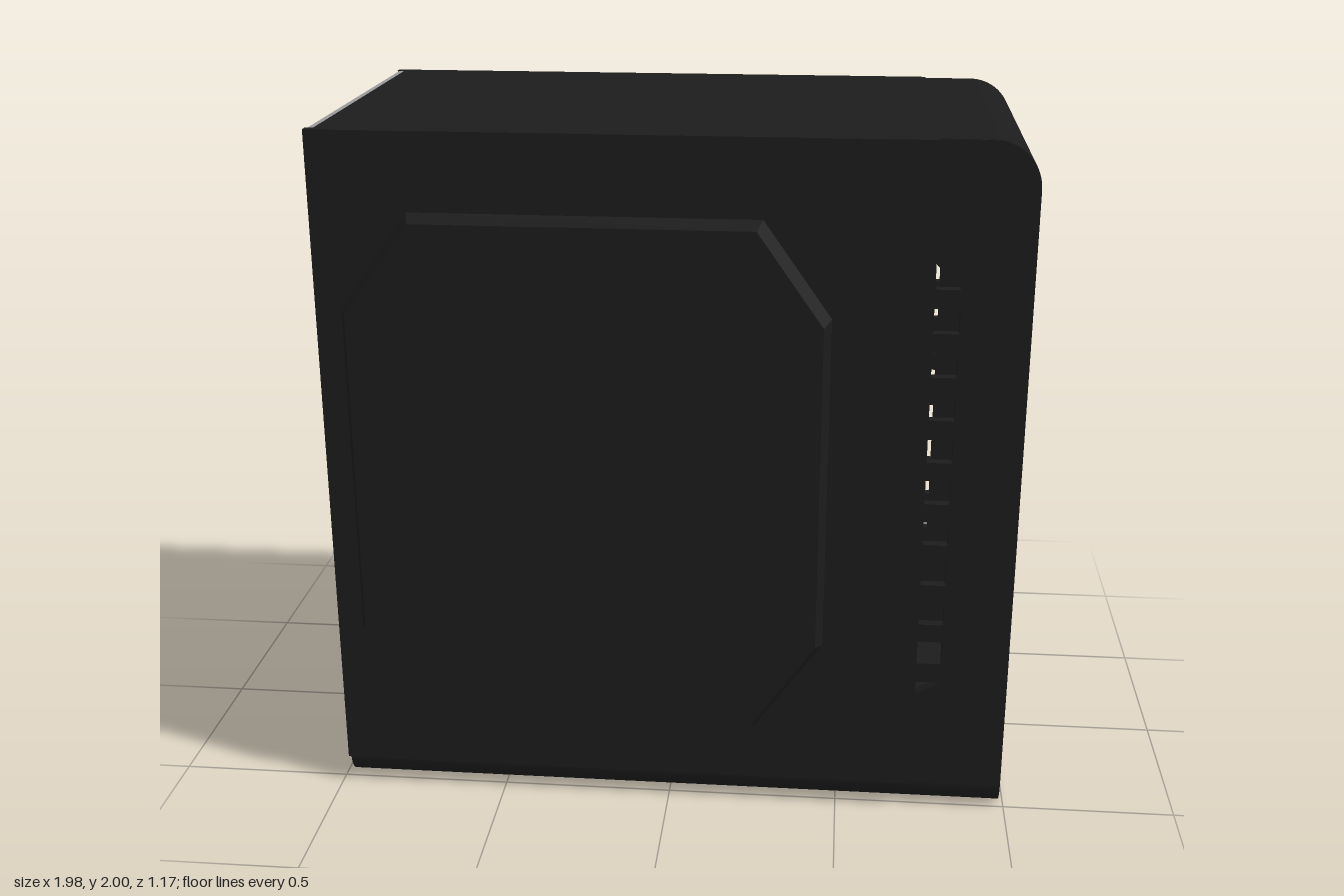
import * as THREE from 'three';

const black = new THREE.MeshStandardMaterial({ color: 0x1c1c1c });
const darker = new THREE.MeshStandardMaterial({ color: 0x0e0e0e });
const steel = new THREE.MeshStandardMaterial({ color: 0x999999 });
const light = new THREE.MeshStandardMaterial({ color: 0xcccccc });

const polygon = (pts) => new THREE.Shape(pts.map(([a, b]) => new THREE.Vector2(a, b)));
const rect = (a0, a1, b0, b1) => polygon([[a0, b0], [a1, b0], [a1, b1], [a0, b1]]);
const extrude = (shape, depth) =>
  new THREE.ExtrudeGeometry(shape, { depth, bevelEnabled: false, curveSegments: 12 });

// Shapes drawn as (-z, y) are extruded along +x starting at x0
const alongX = (shape, x0, depth) => extrude(shape, depth).rotateY(Math.PI / 2).translate(x0, 0, 0);

// Outline with rounded lower corners, drawn as (-z, y)
function roundedBottom(half, top, r) {
  const s = new THREE.Shape();
  s.moveTo(-half, top);
  s.lineTo(-half, r);
  s.absarc(-half + r, r, r, Math.PI, Math.PI * 1.5, false);
  s.lineTo(half - r, 0);
  s.absarc(half - r, r, r, Math.PI * 1.5, Math.PI * 2, false);
  s.lineTo(half, top);
  return s;
}

export function createModel() {
  const model = new THREE.Group();
  const add = (name, geometry, material, parent = model) => {
    const mesh = new THREE.Mesh(geometry, material);
    mesh.name = name;
    parent.add(mesh);
    return mesh;
  };
  const box = (name, x0, x1, y0, y1, z0, z1, material, parent) =>
    add(name, new THREE.BoxGeometry(x1 - x0, y1 - y0, z1 - z0)
      .translate((x0 + x1) / 2, (y0 + y1) / 2, (z0 + z1) / 2), material, parent);

  const H = 0.517, FRONT = 0.985, SEAM = 0.715, R = 0.13;

  // Base tray with rounded long edges
  add('baseTray', alongX(roundedBottom(H, 0.09, 0.085), -0.975, 0.975 + FRONT - 0.02), black);

  // Roof that curls down into the front
  const roof = new THREE.Shape();
  roof.moveTo(-0.955, 1.98);
  roof.lineTo(FRONT - R, 1.98);
  roof.absarc(FRONT - R, 2 - R, R - 0.02, Math.PI / 2, 0, true);
  roof.lineTo(FRONT, 2 - R);
  roof.absarc(FRONT - R, 2 - R, R, 0, Math.PI / 2, false);
  roof.lineTo(-0.955, 2);
  add('roof', extrude(roof, 2 * H - 0.01).translate(0, 0, -H + 0.005), black);

  // Front plate with recesses for the ports and the power button
  const front = roundedBottom(H, 2 - R, 0.085);
  front.holes.push(rect(0.27, 0.445, 1.725, 1.82), rect(0.19, 0.235, 1.755, 1.795));
  add('frontPlate', alongX(front, FRONT - 0.02, 0.02), black);
  box('portPanel', 0.955, 0.972, 1.715, 1.83, -0.455, -0.26, darker);
  for (const y of [1.75, 1.795]) box('portSocket', 0.97, 0.98, y - 0.012, y + 0.012, -0.42, -0.295, black);
  box('powerButton', 0.955, 0.98, 1.757, 1.793, -0.233, -0.192, darker);
  for (const y of [1.75, 1.805]) {
    add('indicatorLight', new THREE.SphereGeometry(0.012, 12, 8).scale(0.4, 1, 1)
      .translate(FRONT, y, -0.15), light);
  }

  // Front bezel cheeks with a column of vents, tapered at both ends
  const cheek = new THREE.Shape();
  cheek.moveTo(SEAM - 0.01, 0.08);
  cheek.lineTo(FRONT - 0.01, 0.08);
  cheek.lineTo(FRONT - 0.001, 2 - R);
  cheek.absarc(FRONT - R, 2 - R, R - 0.001, 0, Math.PI / 2, false);
  cheek.lineTo(SEAM - 0.01, 1.999);
  const v0 = 0.722, v1 = 0.792;
  for (let i = 0; i < 9; i++) {
    const y = 0.51 + i * 0.1245;
    cheek.holes.push(rect(v0, v1, y - 0.035, y + 0.035));
  }
  cheek.holes.push(polygon([[v0, 1.595], [v1, 1.595], [v0, 1.665]]));
  cheek.holes.push(polygon([[v0, 0.375], [v1, 0.415], [v0, 0.415]]));

  // Raised eight-sided bulge on each side panel
  const octagon = [[-0.71, 0], [0.26, 0], [0.45, 0.27], [0.45, 1.25], [0.26, 1.52],
    [-0.71, 1.52], [-0.905, 1.25], [-0.905, 0.27]];
  function bulge() {
    const g = extrude(polygon(octagon), 0.052).translate(0.2275, -0.76, 0);
    const p = g.attributes.position;
    for (let i = 0; i < p.count; i++) {
      if (p.getZ(i) > 0.01) p.setXY(i, p.getX(i) * 0.968, p.getY(i) * 0.972);
    }
    g.computeVertexNormals();
    return g;
  }

  for (const side of [1, -1]) {
    const name = side > 0 ? 'left' : 'right';
    add(name + 'Cheek', extrude(cheek, 0.03).translate(0, 0, side > 0 ? H - 0.03 : -H), black);
    const panel = new THREE.Group();
    panel.name = name + 'SidePanel';
    model.add(panel);
    const a = side * 0.51, b = side * 0.534;
    box(name + 'PanelSheet', -0.978, SEAM, 0.085, 2, Math.min(a, b), Math.max(a, b), black, panel);
    const bump = add(name + 'PanelBulge', bulge(), black, panel);
    if (side < 0) bump.rotation.y = Math.PI;
    bump.position.set(-0.2275, side > 0 ? 1.02 : 1.075, side * 0.532);
  }

  // Steel chassis: front wall and rear wall with its openings
  box('chassisFrontWall', SEAM - 0.015, SEAM, 0.09, 1.98, -0.51, 0.51, steel);
  const rear = rect(-0.512, 0.512, 0.085, 1.999);
  rear.holes.push(polygon([[0.47, 1.55], [0.47, 1.935], [0.245, 1.935], [0.195, 1.975],
    [-0.36, 1.975], [-0.38, 1.955], [-0.38, 1.51], [-0.34, 1.485], [0.4, 1.485]]));
  rear.holes.push(rect(0.21, 0.5, 0.56, 1.44));
  add('rearWall', alongX(rear, -0.972, 0.018), steel);

  // Flange around the connector opening
  const flange = rect(0.17, 0.51, 0.53, 1.455);
  flange.holes.push(rect(0.2, 0.5, 0.56, 1.44));
  add('connectorFlange', alongX(flange, -0.98, 0.01), steel);

  // Raised cover plate on the rear wall
  box('rearCoverPlate', -0.99, -0.97, 0.75, 1.28, -0.14, 0.335, steel);
  return model;
}
